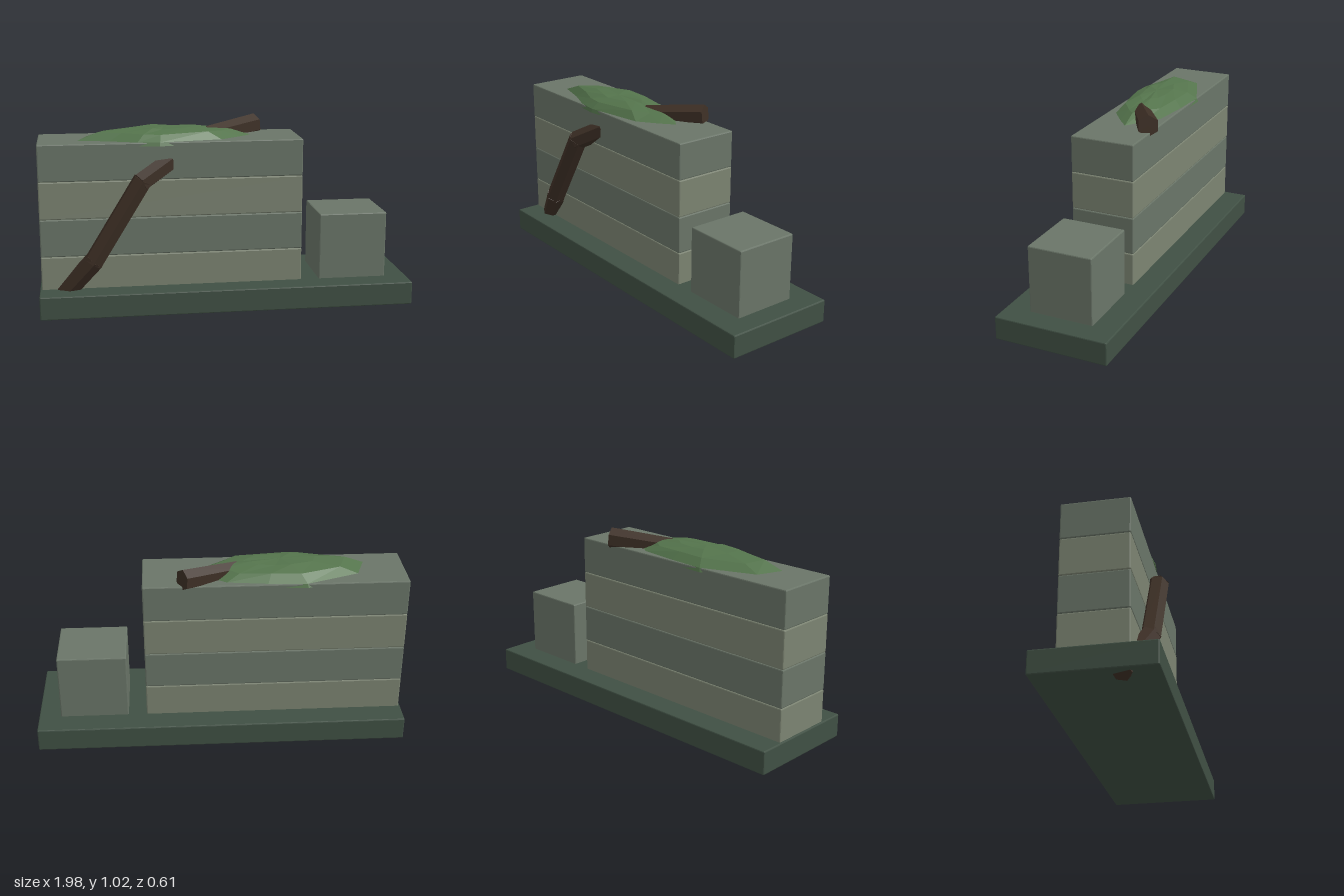
import * as THREE from 'three';
import { RoundedBoxGeometry } from 'three/addons/geometries/RoundedBoxGeometry.js';

const mat = (color) => new THREE.MeshStandardMaterial({ color, flatShading: true });
const V = (x, y, z) => new THREE.Vector3(x, y, z);

export function createModel() {
  const group = new THREE.Group();
  const baseMat = mat(0x405044);
  const stoneMat = mat(0x6a7568);
  const paleStoneMat = mat(0x7c8472);
  const mossMat = mat(0x54744c);
  const barkMat = mat(0x3d2f25);

  const add = (name, geometry, material) => {
    const mesh = new THREE.Mesh(geometry, material);
    mesh.name = name;
    group.add(mesh);
    return mesh;
  };

  // Box with a small chamfer, given by its limits
  const block = (name, x0, x1, y0, y1, z0, z1, material) => {
    const geometry = new RoundedBoxGeometry(x1 - x0, y1 - y0, z1 - z0, 1, 0.006);
    add(name, geometry, material).position.set((x0 + x1) / 2, (y0 + y1) / 2, (z0 + z1) / 2);
  };

  // Six-sided stick between two points
  const stick = (name, a, b, r0, r1) => {
    const dir = b.clone().sub(a);
    const mesh = add(name, new THREE.CylinderGeometry(r1, r0, dir.length(), 6), barkMat);
    mesh.position.copy(a).add(b).multiplyScalar(0.5);
    mesh.quaternion.setFromUnitVectors(V(0, 1, 0), dir.normalize());
  };

  // Plinth, stacked wall courses and the low pillar
  block('base', -0.99, 0.99, 0.037, 0.162, -0.305, 0.305, baseMat);
  const levels = [0.14, 0.337, 0.537, 0.736, 0.932];
  for (let i = 0; i < 4; i++) {
    block(`wallCourse${i + 1}`, -0.98, 0.406, levels[i], levels[i + 1], -0.173, 0.173,
      i % 2 ? stoneMat : paleStoneMat);
  }
  block('pillar', 0.504, 0.872, 0.14, 0.52, -0.173, 0.173, stoneMat);

  // Root climbing the front of the wall
  const root = [V(-0.945, 0.04, 0.122), V(-0.705, 0.32, 0.212), V(-0.45, 0.735, 0.212), V(-0.297, 0.822, 0.13)];
  for (let i = 0; i < 3; i++) {
    const step = root[i + 1].clone().sub(root[i]).normalize().multiplyScalar(0.012);
    const start = i ? root[i].clone().sub(step) : root[i];
    const end = i < 2 ? root[i + 1].clone().add(step) : root[i + 1];
    stick(`rootSegment${i + 1}`, start, end, 0.053, 0.053);
  }

  // Broken branch on top of the wall
  stick('branch', V(-0.085, 0.935, 0.005), V(0.2, 0.967, -0.163), 0.05, 0.057);

  // Moss mound: shrinking rings around an uneven outline
  const outline = [
    [-0.79, 0.07], [-0.74, -0.07], [-0.45, -0.18], [-0.24, -0.168], [-0.02, -0.14], [0.08, -0.07],
    [0.17, -0.01], [0.1, 0.05], [-0.01, 0.13], [-0.35, 0.185], [-0.47, 0.172], [-0.62, 0.115],
  ];
  const rings = [[1, 0.912], [0.96, 0.932], [0.74, 0.968], [0.4, 0.988]];
  const n = outline.length, cx = -0.32, cz = 0.02;
  const pos = [], index = [];
  rings.forEach(([s, y], k) => outline.forEach(([x, z], i) => {
    const wobble = k > 1 ? 0.004 * Math.sin(i * 2.3 + k) : 0;
    pos.push(cx + (x - cx) * s, y + wobble, cz + (z - cz) * s);
  }));
  pos.push(cx, 0.99, cz);
  for (let i = 0; i < n; i++) {
    const j = (i + 1) % n;
    for (let k = 0; k < rings.length - 1; k++) {
      const a = k * n + i, b = k * n + j;
      index.push(a, a + n, b, b, a + n, b + n);
    }
    const top = (rings.length - 1) * n;
    index.push(top + i, rings.length * n, top + j);
  }
  // Outline runs clockwise seen from above, so swap corners to face outward
  for (let i = 0; i < index.length; i += 3) [index[i + 1], index[i + 2]] = [index[i + 2], index[i + 1]];
  const moss = new THREE.BufferGeometry();
  moss.setAttribute('position', new THREE.Float32BufferAttribute(pos, 3));
  moss.setIndex(index);
  moss.computeVertexNormals();
  mossMat.side = THREE.DoubleSide;
  add('moss', moss, mossMat);

  return group;
}
